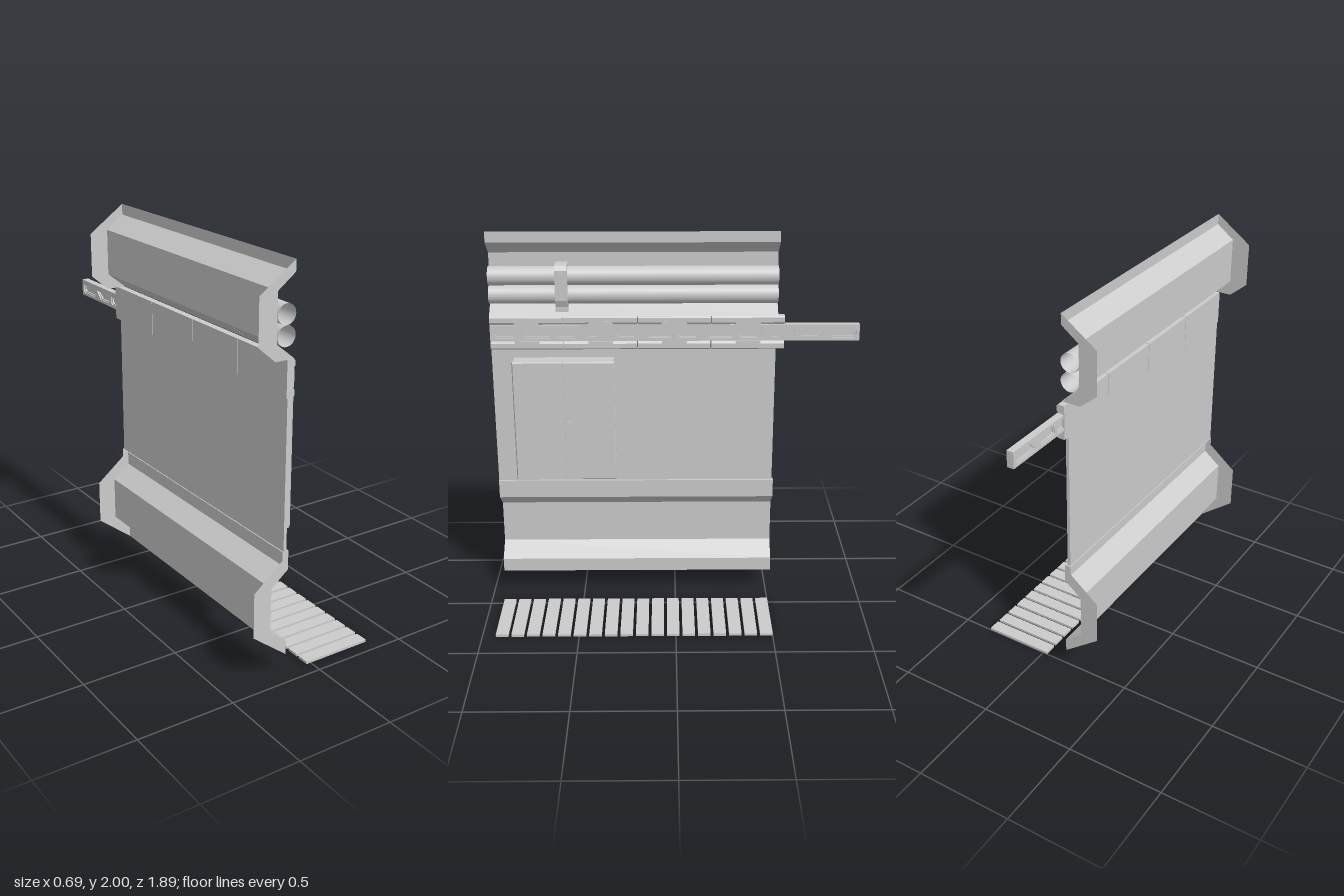
import * as THREE from 'three';

const Z0 = -0.525, Z1 = 0.944; // ends of the wall section

export function createModel() {
  const group = new THREE.Group();
  const mat = new THREE.MeshStandardMaterial({ color: 0xcccccc, side: THREE.DoubleSide });

  const add = (name, geo, parent = group) => {
    const mesh = new THREE.Mesh(geo, mat);
    mesh.name = name;
    parent.add(mesh);
    return mesh;
  };
  const sub = (name) => {
    const g = new THREE.Group();
    g.name = name;
    group.add(g);
    return g;
  };
  // box given by its limits
  const box = (name, x0, x1, y0, y1, z0, z1, parent) => {
    const geo = new THREE.BoxGeometry(x1 - x0, y1 - y0, z1 - z0);
    geo.translate((x0 + x1) / 2, (y0 + y1) / 2, (z0 + z1) / 2);
    return add(name, geo, parent);
  };
  const polygon = (pts, Type = THREE.Shape) => new Type(pts.map(([a, b]) => new THREE.Vector2(a, b)));
  // outline in (-z, y), extruded along x
  const extrudeX = (shape, x0, x1) => {
    const geo = new THREE.ExtrudeGeometry(shape, { depth: x1 - x0, bevelEnabled: false });
    return geo.rotateY(Math.PI / 2).translate(x0, 0, 0);
  };
  // outline in (x, y), extruded along z
  const extrudeZ = (shape, z0, z1) =>
    new THREE.ExtrudeGeometry(shape, { depth: z1 - z0, bevelEnabled: false }).translate(0, 0, z0);
  // folded sheet following an (x, y) profile along z
  const sheet = (profile) => {
    const pos = [];
    for (let i = 0; i < profile.length - 1; i++) {
      const [ax, ay] = profile[i], [bx, by] = profile[i + 1];
      pos.push(ax, ay, Z1, bx, by, Z1, bx, by, Z0, ax, ay, Z1, bx, by, Z0, ax, ay, Z0);
    }
    const geo = new THREE.BufferGeometry();
    geo.setAttribute('position', new THREE.Float32BufferAttribute(pos, 3));
    geo.computeVertexNormals();
    return geo;
  };

  // channels: folded front sheet, open at the back, with a flange at each end
  const channel = (name, inner, outer) => {
    const g = sub(name);
    add('channelSheet', sheet(inner), g);
    const cap = polygon([...inner, ...outer]);
    add('frontFlange', new THREE.ShapeGeometry(cap).translate(0, 0, Z1), g);
    add('rearFlange', new THREE.ShapeGeometry(cap).rotateY(0).translate(0, 0, Z0), g);
  };
  channel('upperChannel',
    [[-0.164, 2], [-0.164, 1.945], [-0.255, 1.876], [-0.255, 1.644], [-0.16, 1.567]],
    [[-0.26, 1.567], [-0.35, 1.644], [-0.35, 1.866]]);
  channel('lowerChannel',
    [[-0.197, 0.655], [-0.164, 0.655], [-0.164, 0.558], [-0.255, 0.485], [-0.255, 0.257], [-0.164, 0.185], [-0.164, 0.112]],
    [[-0.35, 0.257], [-0.35, 0.485], [-0.197, 0.61]]);

  // flat wall panel with corner screws
  box('wallPanel', -0.192, -0.176, 0.655, 1.39, -0.518, Z1);
  for (const y of [0.675, 1.37]) {
    for (const z of [-0.502, 0.928]) {
      const screw = new THREE.CylinderGeometry(0.009, 0.009, 0.005, 12).rotateZ(Math.PI / 2);
      add('panelScrew', screw.translate(-0.174, y, z));
    }
  }

  // two open pipes
  for (const y of [1.768, 1.672]) {
    const pipe = new THREE.CylinderGeometry(0.048, 0.048, Z1 - Z0 - 0.004, 32, 1, true).rotateX(Math.PI / 2);
    add('pipe', pipe.translate(-0.204, y, (Z0 + Z1) / 2));
  }

  // clamp around the pipes, with a slotted face
  const clamp = sub('pipeClamp');
  add('clampStrap', extrudeZ(polygon([
    [-0.255, 1.828], [-0.168, 1.828], [-0.15, 1.805], [-0.15, 1.65], [-0.164, 1.615], [-0.164, 1.59],
    [-0.19, 1.59], [-0.255, 1.644],
  ]), 0.542, 0.605), clamp);
  const slotOutline = (w, h, Type) => {
    const c = 0.008, u = -0.5735, v = 1.725;
    return polygon([[u - w + c, v - h], [u + w - c, v - h], [u + w, v - h + c], [u + w, v + h - c],
      [u + w - c, v + h], [u - w + c, v + h], [u - w, v + h - c], [u - w, v - h + c]], Type);
  };
  const slot = slotOutline(0.019, 0.066);
  slot.holes.push(slotOutline(0.014, 0.06, THREE.Path));
  add('clampSlot', extrudeX(slot, -0.151, -0.147), clamp);

  // rail carriers: four segments with a lip above and below, each with a centre lug
  const carriers = sub('railCarriers');
  for (let i = 0; i < 4; i++) {
    const z1 = Z1 - i * 0.3765, z0 = z1 - 0.373, zc = z1 - 0.187;
    box('carrierBack', -0.197, -0.185, 1.392, 1.566, z0, z1, carriers);
    for (const s of [1, -1]) {
      const at = (d) => 1.479 + s * d;
      const prof = [[-0.195, at(0.044)], [-0.162, at(0.044)], [-0.155, at(0.056)], [-0.155, at(0.08)],
        [-0.162, at(0.087)], [-0.195, at(0.087)]];
      add('carrierLip', extrudeZ(polygon(prof), z0, z1), carriers);
      const lug = [[-zc - 0.064, at(0.042)], [-zc + 0.064, at(0.042)], [-zc + 0.064, at(0.052)],
        [-zc + 0.05, at(0.061)], [-zc - 0.05, at(0.061)], [-zc - 0.064, at(0.052)]];
      add('carrierLug', extrudeX(polygon(lug), -0.185, -0.152), carriers);
    }
  }

  // long rail with a row of slanted pockets around a thin web
  const rail = sub('rail');
  const frame = polygon([[-Z1, 1.437], [0.943, 1.437], [0.943, 1.521], [-Z1, 1.521]]);
  const rims = [];
  for (let i = 0; i < 12; i++) {
    const u0 = -0.924 + i * 0.1555, u1 = u0 + 0.142;
    const pocket = (d) => {
      const b = 1.452 + d, t = 1.506 - d, l = u0 + d, r = u1 - d, c = 0.012, k = 0.038;
      return i % 2 === 0
        ? [[l + c, b], [r - k - d * 0.5, b], [r - d * 0.5, t - c], [r - c, t], [l + c, t], [l, t - c], [l, b + c]]
        : [[l + c, b], [r - c, b], [r, b + c], [r, t - c], [r - c, t], [l + k + d * 0.5, t], [l + d * 0.5, b + c]];
    };
    frame.holes.push(polygon(pocket(0), THREE.Path));
    const rim = polygon(pocket(0));
    rim.holes.push(polygon(pocket(0.006), THREE.Path));
    rims.push(rim);
  }
  add('railFrame', extrudeX(frame, -0.194, -0.158), rail);
  for (const rim of rims) add('pocketRim', extrudeX(rim, -0.188, -0.164), rail);
  box('railWeb', -0.18, -0.172, 1.44, 1.518, -0.94, 0.94, rail);

  // cabinet: body, two doors with chamfered outer edges, handles and a label plate
  const cabinet = sub('cabinet');
  box('cabinetBody', -0.178, -0.085, 0.707, 1.345, 0.315, 0.827, cabinet);
  const door = (name, z0, z1) => {
    const geo = new THREE.BoxGeometry(0.022, 0.65, z1 - z0, 2, 1, 1).toNonIndexed();
    const p = geo.attributes.position;
    for (let i = 0; i < p.count; i++) {
      if (p.getX(i) > 0.005) {
        p.setY(i, p.getY(i) * 0.982);
        const outer = z0 < 0.4 ? -1 : 1; // the side away from the seam
        if (Math.sign(p.getZ(i)) === outer) p.setZ(i, p.getZ(i) - outer * 0.006);
      }
    }
    geo.computeVertexNormals();
    add(name, geo.translate(-0.081, 1.026, (z0 + z1) / 2), cabinet);
  };
  door('leftDoor', 0.572, 0.833);
  door('rightDoor', 0.309, 0.569);
  for (const z of [0.592, 0.547]) {
    box('doorHandle', -0.071, -0.064, 0.982, 1.034, z - 0.01, z + 0.01, cabinet);
    box('handleGrip', -0.066, -0.061, 0.988, 1.028, z - 0.006, z + 0.006, cabinet);
  }
  box('doorPlate', -0.072, -0.068, 1.07, 1.29, 0.61, 0.77, cabinet);

  // floor slats
  const floor = sub('floorSlats');
  for (let i = 0; i < 18; i++) {
    const z = -0.5 + i * 0.0803;
    box('floorSlat', -0.024, 0.344, 0, 0.013, z, z + 0.065, floor);
  }

  return group;
}
